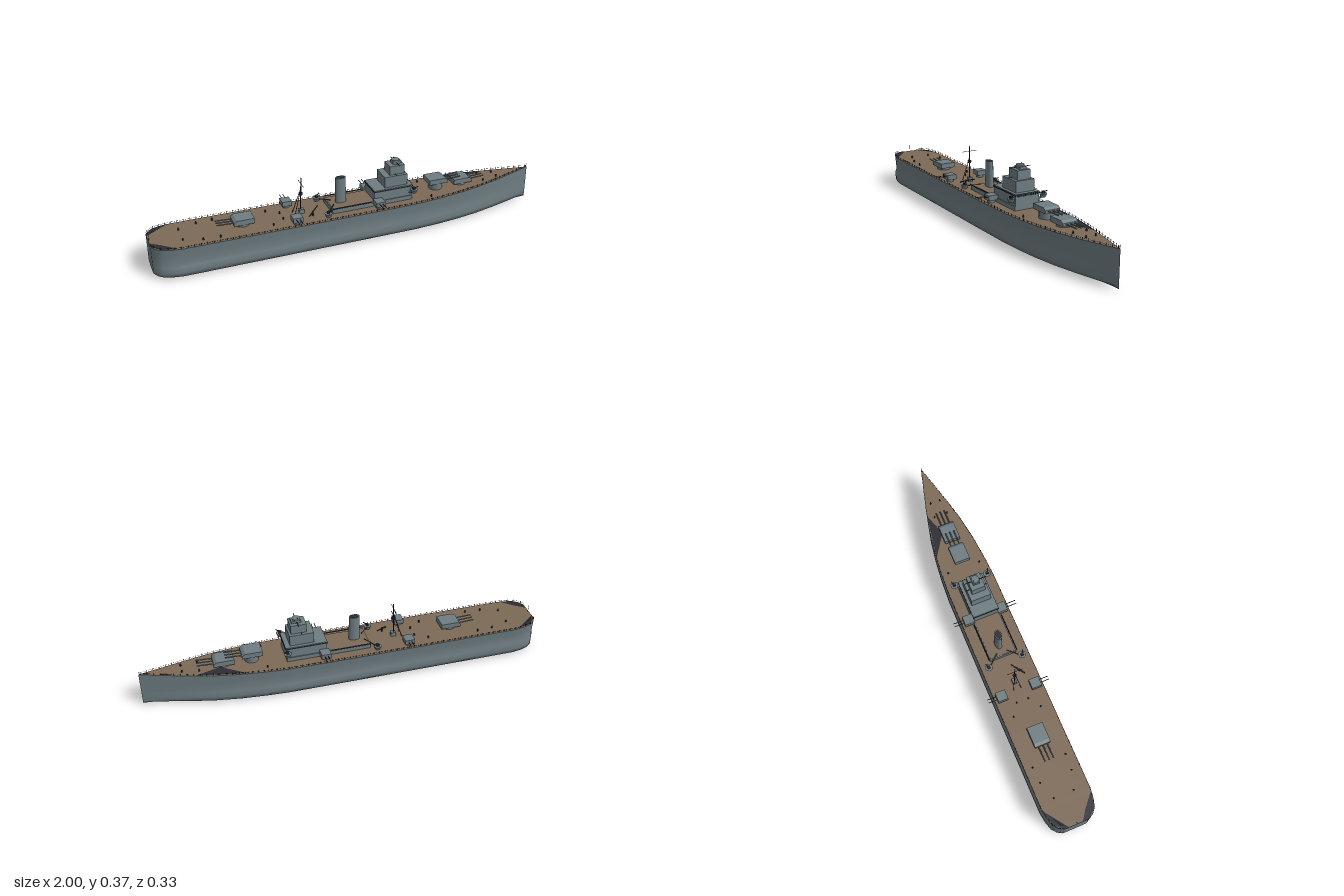
import * as THREE from 'three';
import { mergeGeometries } from 'three/addons/utils/BufferGeometryUtils.js';

const mat = (name, color) => {
  const m = new THREE.MeshStandardMaterial({ color });
  m.name = name;
  return m;
};

export function createModel() {
  const ship = new THREE.Group();
  ship.name = 'warship';
  const grey = mat('hull grey', 0x6f7e83);
  const wood = mat('deck brown', 0x7d6a57);
  const dark = mat('dark fittings', 0x2c2d35);
  wood.side = dark.side = THREE.DoubleSide;

  const add = (parent, name, geo, material, x = 0, y = 0, z = 0) => {
    const m = new THREE.Mesh(geo, material);
    m.name = name;
    m.position.set(x, y, z);
    parent.add(m);
    return m;
  };
  const group = (name, x = 0, y = 0, z = 0) => {
    const g = new THREE.Group();
    g.name = name;
    g.position.set(x, y, z);
    ship.add(g);
    return g;
  };
  // Box given by its lower and upper limits
  const block = (parent, name, x0, x1, y0, y1, halfZ, material = grey) =>
    add(parent, name, new THREE.BoxGeometry(x1 - x0, y1 - y0, halfZ * 2), material, (x0 + x1) / 2, (y0 + y1) / 2, 0);
  // Thin rod between two points
  const rod = (parent, name, a, b, r, material = dark) => {
    const A = new THREE.Vector3(...a), B = new THREE.Vector3(...b);
    const d = B.clone().sub(A);
    const m = add(parent, name, new THREE.CylinderGeometry(r, r, d.length(), 6), material);
    m.position.copy(A).addScaledVector(d, 0.5);
    m.quaternion.setFromUnitVectors(new THREE.Vector3(0, 1, 0), d.normalize());
    return m;
  };

  // Hull stations: x, half width, deck height, keel height
  const stations = [
    [-1, 0.062, 0.163, 0.014], [-0.985, 0.088, 0.163, 0.009], [-0.96, 0.108, 0.162, 0.005],
    [-0.92, 0.12, 0.161, 0.002], [-0.87, 0.127, 0.16, 0], [-0.5, 0.127, 0.159, 0], [0, 0.127, 0.158, 0],
    [0.3, 0.126, 0.159, 0], [0.42, 0.119, 0.161, 0], [0.54, 0.107, 0.164, 0], [0.66, 0.088, 0.167, 0.001],
    [0.78, 0.06, 0.171, 0.002], [0.9, 0.028, 0.176, 0.004], [1, 0.0008, 0.181, 0.008],
  ];
  const half = ([, w, top, keel]) => [
    [w, top], [w * 0.97, 0.125], [w * 0.935, 0.08], [w, 0.065], [w, 0.035], [w * 0.98, 0.014 + keel * 0.5], [w * 0.5, 0.007 + keel * 0.6], [0, keel],
  ];
  const ring = (s) => {
    const h = half(s);
    return [...h, ...h.slice(0, -1).reverse().map(([z, y]) => [-z, y])];
  };
  const pos = [], idx = [];
  const n = ring(stations[0]).length;
  stations.forEach((s, i) => {
    ring(s).forEach(([z, y], j) => {
      pos.push(s[0], y, z);
      if (i < stations.length - 1 && j < n - 1) {
        const a = i * n + j, b = a + n, c = b + 1, d = a + 1;
        idx.push(a, d, b, b, d, c);
      }
    });
  });
  const mesh = (p, ix) => {
    const g = new THREE.BufferGeometry();
    g.setAttribute('position', new THREE.Float32BufferAttribute(p, 3));
    g.setIndex(ix);
    g.computeVertexNormals();
    return g;
  };
  add(ship, 'hull', mesh(pos, idx), grey);

  // Flat stern plate
  const sternPos = [-1, 0.163, 0], sternIdx = [];
  ring(stations[0]).forEach(([z, y], j) => {
    sternPos.push(-1, y, z);
    if (j) sternIdx.push(0, j + 1, j);
  });
  add(ship, 'sternPlate', mesh(sternPos, sternIdx), grey);

  // Planked deck
  const deckPos = [], deckIdx = [];
  stations.forEach(([x, w, y], i) => {
    deckPos.push(x, y, w, x, y, -w);
    if (i) {
      const p = 2 * i - 2;
      deckIdx.push(p, p + 2, p + 3, p, p + 3, p + 1);
    }
  });
  add(ship, 'deck', mesh(deckPos, deckIdx), wood);

  // Dark openings in the deck
  [
    [[0.5, 0.165, -0.109], [0.74, 0.1715, -0.068], [0.62, 0.168, -0.03]],
    [[-0.999, 0.1645, 0.03], [-0.95, 0.164, 0.065], [-0.885, 0.163, 0.123], [-0.96, 0.1635, 0.106], [-0.999, 0.1645, 0.062]],
    [[-0.999, 0.1645, -0.04], [-0.975, 0.164, -0.075], [-0.885, 0.163, -0.123], [-0.96, 0.1635, -0.106], [-0.999, 0.1645, -0.062]],
  ].forEach((pts) => {
    const fan = [];
    for (let k = 1; k < pts.length - 1; k++) fan.push(0, k, k + 1);
    add(ship, 'deckOpening', mesh(pts.flat(), fan), dark);
  });

  // Guard rail stanchions and wire along both edges
  const edge = (x) => {
    const i = Math.max(1, stations.findIndex((s) => s[0] >= x));
    const a = stations[i - 1], b = stations[i], t = (x - a[0]) / (b[0] - a[0]);
    return [a[1] + (b[1] - a[1]) * t, a[2] + (b[2] - a[2]) * t];
  };
  const posts = [];
  for (let x = -0.99; x < 1; x += 0.03) {
    const [w, y] = edge(x);
    for (const s of [1, -1]) posts.push(new THREE.BoxGeometry(0.002, 0.012, 0.002).translate(x, y + 0.006, s * w * 0.985));
  }
  add(ship, 'railPosts', mergeGeometries(posts), dark);
  for (const s of [1, -1])
    for (let i = 1; i < stations.length; i++) {
      const [a, b] = [stations[i - 1], stations[i]];
      rod(ship, 'railWire', [a[0], a[2] + 0.008, s * a[1] * 0.985], [b[0], b[2] + 0.008, s * b[1] * 0.985], 0.0005);
    }

  // Long deckhouse and stepped bridge tower
  const house = group('deckhouse');
  block(house, 'deckhouseWalls', -0.12, 0.3, 0.155, 0.18, 0.068);
  block(house, 'deckhouseRoof', -0.115, 0.1, 0.18, 0.182, 0.064, wood);
  for (const s of [1, -1]) rod(house, 'boatBoom', [-0.12, 0.186, s * 0.073], [0.08, 0.186, s * 0.073], 0.003);
  const tower = group('bridgeTower');
  block(tower, 'lowerBridge', 0.1, 0.3, 0.16, 0.235, 0.064);
  block(tower, 'bridgeLedge', 0.097, 0.305, 0.229, 0.234, 0.068, dark);
  block(tower, 'lowerBridgeRoof', 0.099, 0.303, 0.234, 0.238, 0.066);
  block(tower, 'middleBridge', 0.16, 0.28, 0.235, 0.294, 0.051);
  block(tower, 'upperBridge', 0.192, 0.27, 0.294, 0.34, 0.035);
  add(tower, 'director', new THREE.CylinderGeometry(0.02, 0.02, 0.022, 16), grey, 0.235, 0.35, 0);
  block(tower, 'directorHood', 0.215, 0.262, 0.342, 0.354, 0.018);
  rod(tower, 'rangefinder', [0.235, 0.348, -0.055], [0.235, 0.348, 0.055], 0.0018);
  rod(tower, 'bridgeYard', [0.22, 0.297, -0.055], [0.22, 0.297, 0.055], 0.0015);
  rod(tower, 'directorAerial', [0.23, 0.36, -0.012], [0.23, 0.368, -0.012], 0.0015);
  for (let i = -5; i <= 5; i++) block(tower, 'bridgeWindow', 0.303, 0.306, 0.225, 0.238, 0.002, dark).position.z = i * 0.0105;

  // Oval funnel with a dark mouth
  const funnel = group('funnel', -0.055, 0, 0);
  funnel.scale.z = 0.62;
  add(funnel, 'funnelCasing', new THREE.CylinderGeometry(0.027, 0.028, 0.155, 20, 1), grey, 0, 0.236, 0);
  add(funnel, 'funnelMouth', new THREE.CylinderGeometry(0.022, 0.022, 0.002, 20), dark, 0, 0.3135, 0);

  // Main turrets: sloped-front house, barbette and barrels
  const turretShape = new THREE.Shape([[-0.05, 0], [0.05, 0], [0.05, 0.016], [0.035, 0.026], [-0.05, 0.026]].map((p) => new THREE.Vector2(...p)));
  const turretGeo = new THREE.ExtrudeGeometry(turretShape, { depth: 0.08, bevelEnabled: false }).translate(0, 0, -0.04);
  [[0.6, 0.177, 1], [0.462, 0.198, 1], [-0.553, 0.173, -1]].forEach(([x, y, dir]) => {
    const t = group('mainTurret', x, y, 0);
    t.rotation.y = dir > 0 ? 0 : Math.PI;
    add(t, 'turretHouse', turretGeo, grey);
    const depth = y - 0.155;
    add(t, 'barbette', new THREE.CylinderGeometry(0.035, 0.035, depth, 20), grey, 0, -depth / 2, 0);
    for (const z of [-0.022, 0, 0.022]) rod(t, 'gunBarrel', [0.045, 0.01, z], [0.128, 0.014, z], 0.0032, grey);
  });

  // Broadside twin mounts
  for (const x of [-0.31, 0.115])
    for (const s of [1, -1]) {
      const t = group('sideMount', x, 0.16, s * 0.088);
      add(t, 'mountBase', new THREE.CylinderGeometry(0.018, 0.018, 0.014, 12), grey, 0, 0.005, 0);
      add(t, 'mountShield', new THREE.BoxGeometry(0.048, 0.025, 0.05), grey, 0, 0.024, 0);
      for (const dx of [-0.008, 0.008]) rod(t, 'mountBarrel', [dx, 0.027, s * 0.02], [dx, 0.029, s * (x > 0 ? 0.078 : 0.07)], 0.0018);
    }

  // Light guns on round tubs
  for (const [x, y] of [[-0.15, 0.16], [0.3, 0.205]])
    for (const s of [1, -1]) {
      const t = group('lightGun', x, y, s * 0.088);
      add(t, 'gunTub', new THREE.CylinderGeometry(0.019, 0.012, 0.018, 14), grey, 0, 0.009, 0);
      add(t, 'gunMount', new THREE.BoxGeometry(0.012, 0.012, 0.014), dark, 0, 0.023, 0);
      rod(t, 'lightBarrel', [0, 0.024, 0], [0.018, 0.034, s * 0.01], 0.0025);
      if (x > 0) rod(t, 'tubSupport', [0, 0.004, 0], [-0.012, -0.008, -s * 0.026], 0.005, grey);
    }

  // Tripod mast with yard and lookout
  const mast = group('mast');
  rod(mast, 'mastPole', [-0.262, 0.158, 0], [-0.256, 0.347, 0], 0.0025);
  for (const s of [1, -1]) rod(mast, 'mastLeg', [-0.298, 0.158, s * 0.02], [-0.258, 0.29, 0], 0.0016);
  rod(mast, 'yard', [-0.258, 0.318, -0.04], [-0.258, 0.318, 0.04], 0.0012);
  add(mast, 'lookout', new THREE.CylinderGeometry(0.01, 0.008, 0.012, 10), dark, -0.259, 0.262, 0);
  add(mast, 'mastHouse', new THREE.BoxGeometry(0.025, 0.025, 0.02), grey, -0.258, 0.168, 0);

  // Cranes abaft the funnel
  rod(ship, 'crane', [-0.24, 0.168, 0.065], [-0.18, 0.19, 0.015], 0.003);
  rod(ship, 'cranePost', [-0.215, 0.158, 0.048], [-0.215, 0.182, 0.045], 0.004);
  for (const s of [1, -1]) rod(ship, 'boom', [-0.15, 0.172, s * 0.085], [-0.1, 0.185, s * 0.025], 0.0025);

  // Small vents and bollards scattered on deck
  for (const [x, z] of [[-0.85, 0.05], [-0.76, 0.08], [-0.68, 0.085], [-0.42, 0.07], [-0.36, 0.03], [0.4, 0.085], [0.72, 0.035], [0.8, 0.025]])
    for (const s of [1, -1]) add(ship, 'bollard', new THREE.CylinderGeometry(0.003, 0.004, 0.012, 8), dark, x, edge(x)[1] + 0.006, s * z);

  // Flagstaffs at the ends
  rod(ship, 'sternStaff', [-0.995, 0.162, 0], [-0.997, 0.2, 0], 0.001);
  rod(ship, 'bowStaff', [0.995, 0.18, 0], [0.997, 0.2, 0], 0.001);
  return ship;
}
